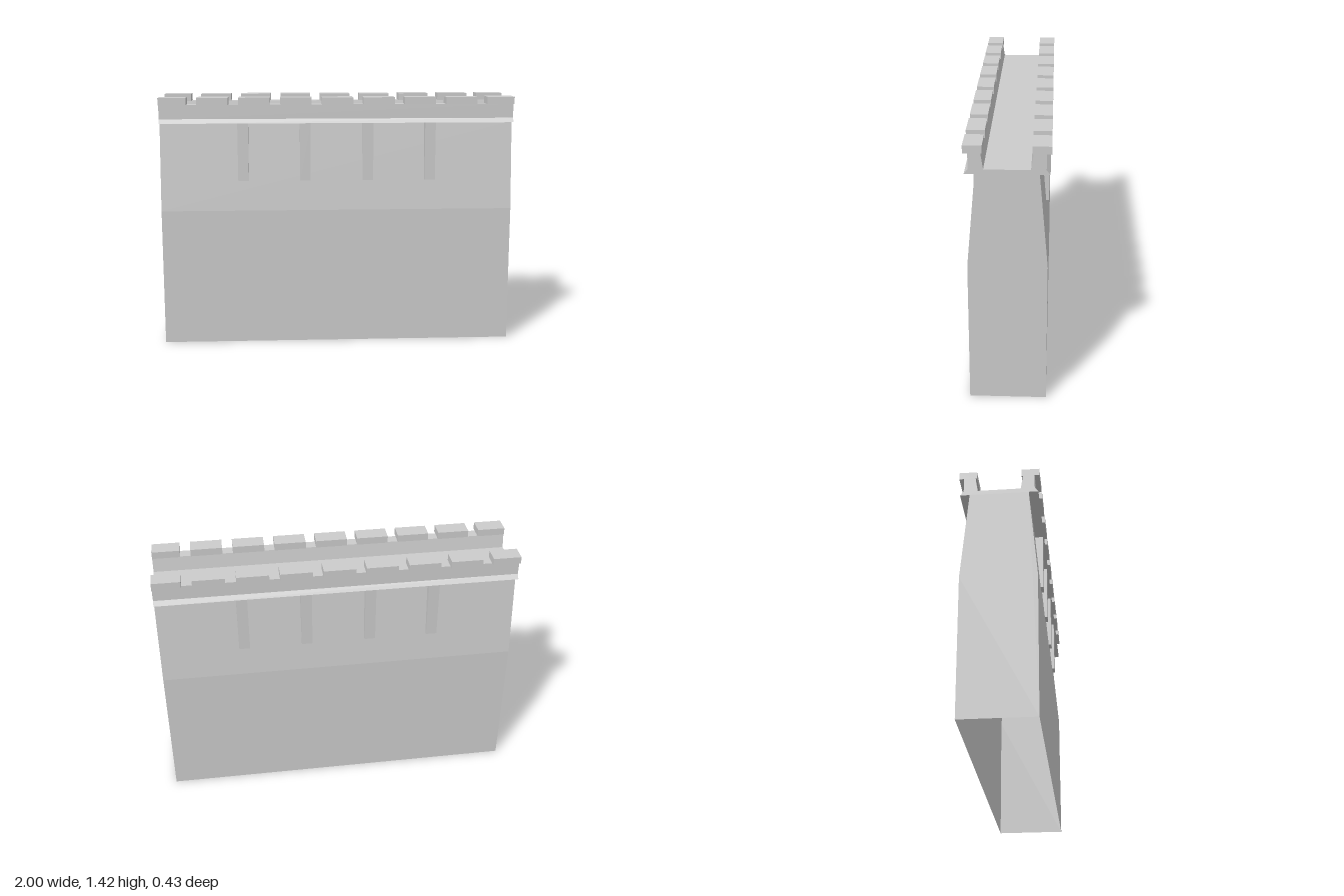
import * as THREE from 'three';

const material = new THREE.MeshStandardMaterial({ color: 0xcccccc, flatShading: true, side: THREE.DoubleSide });

// Sweep a (z, y) profile along x, centred on x
function sweep(points, length) {
  const shape = new THREE.Shape(points.map(([z, y]) => new THREE.Vector2(z, y)));
  const geometry = new THREE.ExtrudeGeometry(shape, { depth: length, bevelEnabled: false });
  return geometry.translate(0, 0, -length / 2).rotateY(-Math.PI / 2);
}

// Drop the triangles lying on the ground, leaving the underside open
function openBottom(geometry) {
  const p = geometry.attributes.position;
  const kept = [];
  for (let i = 0; i < p.count; i += 3) {
    if (Math.max(p.getY(i), p.getY(i + 1), p.getY(i + 2)) < 1e-4) continue;
    for (let j = i; j < i + 3; j++) kept.push(p.getX(j), p.getY(j), p.getZ(j));
  }
  const open = new THREE.BufferGeometry();
  open.setAttribute('position', new THREE.Float32BufferAttribute(kept, 3));
  open.computeVertexNormals();
  return open;
}

function add(parent, name, geometry, x = 0) {
  const mesh = new THREE.Mesh(geometry, material);
  mesh.name = name;
  mesh.position.x = x;
  parent.add(mesh);
}

export function createModel() {
  const model = new THREE.Group();
  model.name = 'castleWall';

  // Wall, cornices, parapets and walkway in one profile; front half, then back half
  const half = [
    [0.2, 0], [0.2, 0.775], [0.156, 1.272], [0.207, 1.272],
    [0.188, 1.296], [0.188, 1.376], [0.126, 1.376], [0.114, 1.296],
  ];
  const back = half.map(([z, y]) => [-z, y]).reverse();
  add(model, 'wall', openBottom(sweep([...half, ...back], 2)));

  const corbel = sweep([[0.184, 0.947], [0.2, 0.947], [0.2, 1.272], [0.15, 1.272]], 0.06);
  const merlonProfile = [[0.119, 1.376], [0.213, 1.376], [0.213, 1.416], [0.119, 1.416]];

  for (const side of ['front', 'back']) {
    const group = new THREE.Group();
    group.name = side + 'Battlement';
    if (side === 'back') group.rotation.y = Math.PI;

    // Corbels under the cornice
    for (const x of [-0.533, -0.183, 0.173, 0.527]) add(group, 'corbel', corbel, x);

    // Merlons, with the two end ones cut flush with the wall
    for (let i = -4; i <= 4; i++) {
      const x0 = Math.max(-1, i * 0.2333 - 0.0875);
      const x1 = Math.min(1, i * 0.2333 + 0.0875);
      add(group, 'merlon', sweep(merlonProfile, x1 - x0), (x0 + x1) / 2);
    }
    model.add(group);
  }
  return model;
}
